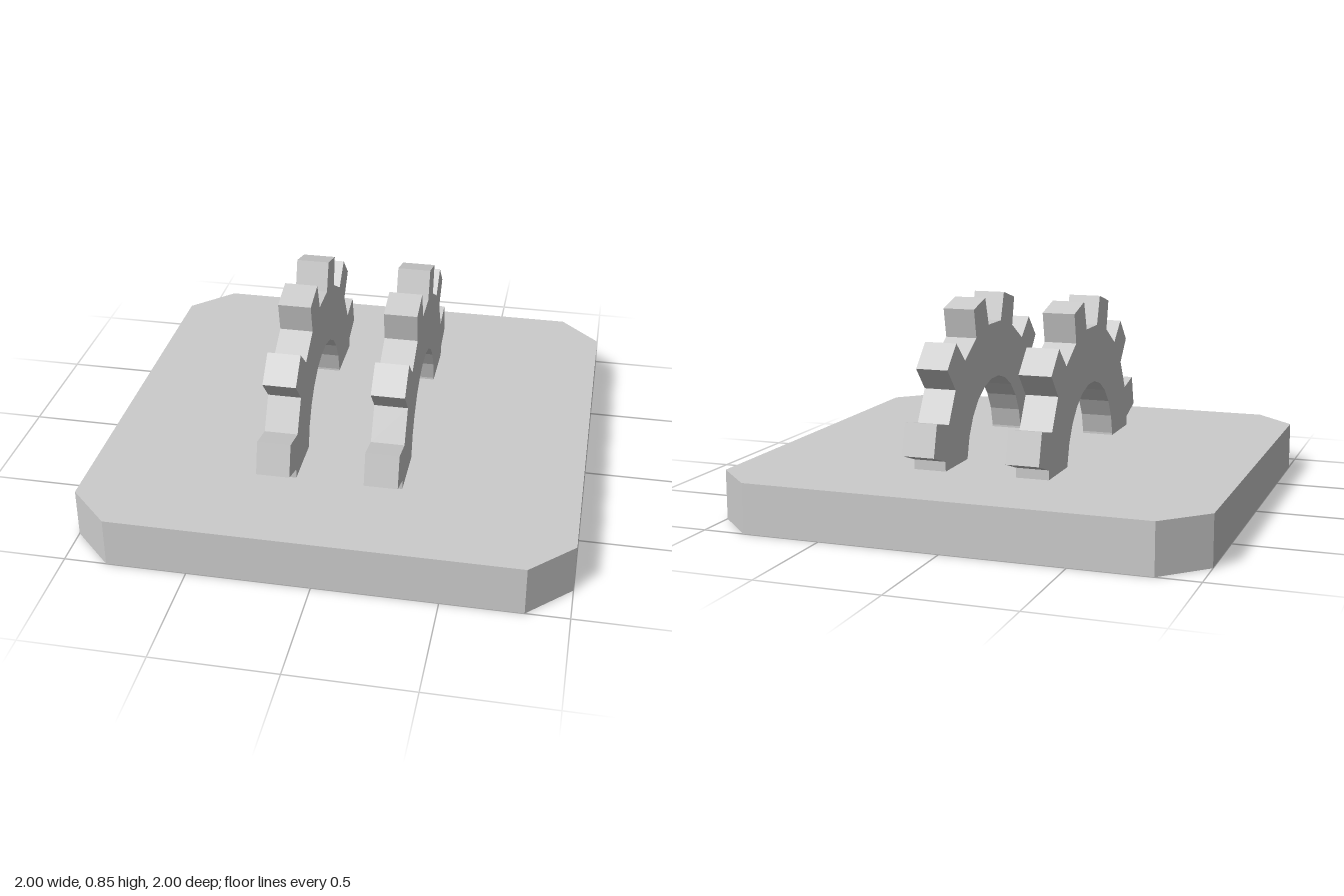
import * as THREE from 'three';

const material = new THREE.MeshStandardMaterial({ color: 0xcccccc, flatShading: true });
const BASE_H = 0.205, AXIS_Y = 0.171, GEAR_W = 0.136, GEAR_X = 0.218;
const rad = THREE.MathUtils.degToRad;

function extrude(points, depth) {
  return new THREE.ExtrudeGeometry(new THREE.Shape(points), { depth, bevelEnabled: false });
}

// Square slab with chamfered corners
function createBase() {
  const c = 0.827;
  const pts = [[1, -c], [1, c], [c, 1], [-c, 1], [-1, c], [-1, -c], [-c, -1], [c, -1]]
    .map(([x, y]) => new THREE.Vector2(x, y));
  const base = new THREE.Mesh(extrude(pts, BASE_H).rotateX(-Math.PI / 2), material);
  base.name = 'base';
  return base;
}

// Upper half of a twelve-tooth ring gear, its feet sunk into the base
function createHalfGear() {
  const rootR = 0.569, tipR = 0.693, boreR = 0.329, tipHalf = 5.6;
  const pts = [];
  const polar = (r, deg) => pts.push(new THREE.Vector2(r * Math.cos(rad(deg)), r * Math.sin(rad(deg))));

  pts.push(new THREE.Vector2(rootR * Math.cos(rad(7.5)), 0));
  for (let a = 15; a < 180; a += 30) {
    polar(rootR, a - 7.5);
    polar(tipR, a - tipHalf);
    polar(tipR, a + tipHalf);
    polar(rootR, a + 7.5);
  }
  pts.push(new THREE.Vector2(-rootR * Math.cos(rad(7.5)), 0));

  // faceted bore, walked back to the start
  pts.push(new THREE.Vector2(-boreR * Math.cos(rad(7.5)), 0));
  for (let a = 172.5; a > 0; a -= 15) polar(boreR, a);
  pts.push(new THREE.Vector2(boreR * Math.cos(rad(7.5)), 0));

  return extrude(pts, GEAR_W).translate(0, 0, -GEAR_W / 2).rotateY(-Math.PI / 2);
}

export function createModel() {
  const model = new THREE.Group();
  model.name = 'gearStand';
  model.add(createBase());

  const gearGeometry = createHalfGear();
  for (const [name, side] of [['leftHalfGear', 1], ['rightHalfGear', -1]]) {
    const gear = new THREE.Mesh(gearGeometry, material);
    gear.name = name;
    gear.position.set(side * GEAR_X, AXIS_Y, 0);
    model.add(gear);
  }
  return model;
}
